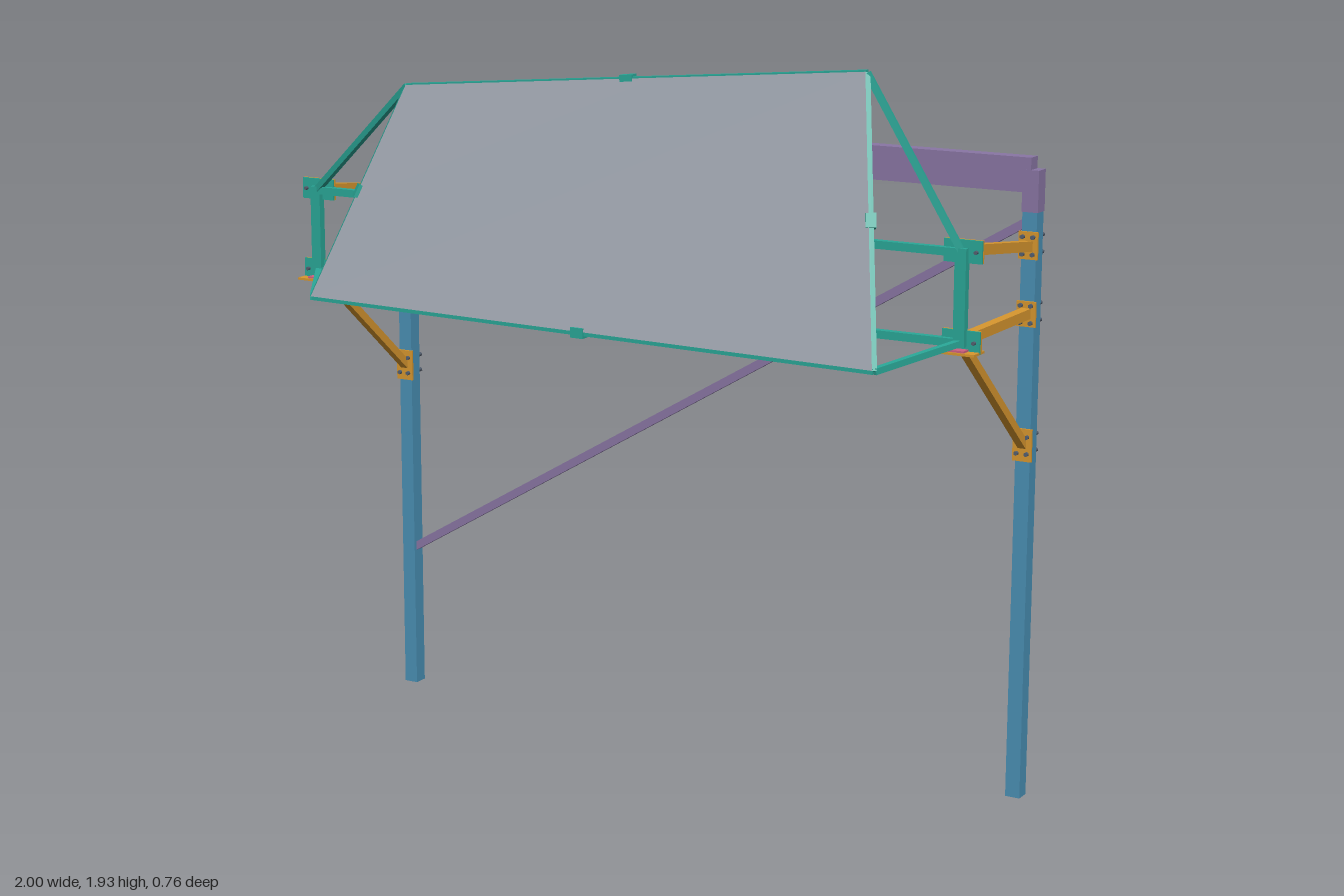
import * as THREE from 'three';

const mat = (color, extra = {}) => new THREE.MeshStandardMaterial({ color, ...extra });
const blue = mat(0x4a90b5), purple = mat(0x8a76a5), orange = mat(0xd9982f), teal = mat(0x2aa898);
const steel = mat(0x556070), pink = mat(0xd06080);
const grey = mat(0x9aa0aa, { side: THREE.DoubleSide });
const V = (x, y, z) => new THREE.Vector3(x, y, z);

export function createModel() {
  const model = new THREE.Group();

  const add = (name, geometry, material, pos) => {
    const mesh = new THREE.Mesh(geometry, material);
    mesh.name = name;
    mesh.position.copy(pos);
    model.add(mesh);
    return mesh;
  };
  const box = (name, material, pos, w, h, d) => add(name, new THREE.BoxGeometry(w, h, d), material, pos);
  // Straight square bar between two points
  const bar = (name, material, a, b, w, h = w) => {
    const mesh = box(name, material, a.clone().lerp(b, 0.5), w, h, a.distanceTo(b));
    mesh.lookAt(b);
    return mesh;
  };

  // Frame corners, and the panel just in front of them
  const TL = V(-0.57, 1.815, 0.18), TR = V(0.72, 1.92, 0.13);
  const BR = V(0.855, 1.25, 0.342), BL = V(-0.75, 1.275, 0.367);
  const corners = [TL, BL, BR, TR];
  const normal = BR.clone().sub(BL).cross(TR.clone().sub(BL)).normalize();
  const front = corners.map((c) => c.clone().addScaledVector(normal, 0.011));

  // Tilted panel
  const sheet = new THREE.BufferGeometry().setFromPoints(front);
  sheet.setIndex([0, 1, 3, 1, 2, 3]);
  sheet.computeVertexNormals();
  add('panel', sheet, grey, V(0, 0, 0));

  // Panel frame with a small clip at the middle of each edge
  corners.forEach((c, i) => {
    const next = corners[(i + 1) % 4];
    bar('panelFrame', teal, c, next, 0.014);
    const clip = bar('panelClip', teal, c.clone().lerp(next, 0.487), c.clone().lerp(next, 0.513), 0.026);
    clip.scale.z = 0.035 / c.distanceTo(next) / 0.026;
  });
  bar('panelBrace', teal, BL, TR, 0.014);
  box('braceClip', teal, BL.clone().lerp(TR, 0.49), 0.03, 0.02, 0.014);

  // Horizontal rails carrying the panel
  for (const y of [1.5, 1.28]) bar('rail', teal, V(-0.95, y, 0.07), V(0.95, y, 0.07), 0.02);

  for (const s of [-1, 1]) {
    const x = 0.95 * s;

    // Post and its cap
    box('post', blue, V(x, 0.78, -0.35), 0.04, 1.56, 0.04);
    box('postCap', purple, V(x, 1.593, -0.35), 0.044, 0.106, 0.042);

    // Struts from the rail ends to the panel corners
    bar('upright', teal, V(x, 1.27, 0.07), V(x, 1.51, 0.07), 0.03, 0.02);
    bar('upperStrut', teal, V(x, 1.5, 0.07), s < 0 ? TL : TR, 0.016);
    bar('lowerStrut', teal, V(x, 1.28, 0.07), s < 0 ? BL : BR, 0.016);

    // Three arms reaching forward from each post
    bar('upperArm', orange, V(x, 1.455, -0.33), V(x, 1.503, 0.055), 0.026);
    bar('middleArm', orange, V(x, 1.285, -0.33), V(x, 1.285, 0.055), 0.026);
    bar('lowerArm', orange, V(x, 0.945, -0.33), V(x, 1.27, 0.055), 0.022);

    // Paired joint plates at the arm tips
    for (const y of [1.502, 1.282]) {
      box('jointPlate', orange, V(x, y, 0.056), 0.1, 0.056, 0.006);
      box('railPlate', teal, V(x, y, 0.063), 0.1, 0.056, 0.006);
      for (const dx of [-0.036, 0.036]) {
        const bolt = add('jointBolt', new THREE.CylinderGeometry(0.005, 0.005, 0.03, 6), steel, V(x + dx, y, 0.06));
        bolt.rotation.x = Math.PI / 2;
      }
    }
    box('jointShelf', orange, V(x, 1.257, 0.068), 0.1, 0.006, 0.06);
    box('jointWasher', pink, V(x, 1.262, 0.072), 0.042, 0.006, 0.042);

    // Post brackets with through bolts
    for (const [y, h] of [[1.457, 0.07], [1.283, 0.065], [0.945, 0.085]]) {
      box('bracketPlate', orange, V(x, y, -0.327), 0.052, h, 0.006);
      for (const dy of [-0.022, 0.022]) for (const dx of [-0.014, 0.014]) {
        const bolt = add('bracketBolt', new THREE.CylinderGeometry(0.006, 0.006, 0.068, 6), steel, V(x + dx, y + dy, -0.35));
        bolt.rotation.x = Math.PI / 2;
      }
    }
  }

  // Top beam and the long diagonal brace between the posts
  box('topBeam', purple, V(0, 1.633, -0.35), 1.9, 0.088, 0.04);
  bar('diagonalBrace', purple, V(-0.94, 0.405, -0.35), V(0.94, 1.515, -0.35), 0.022);

  return model;
}
